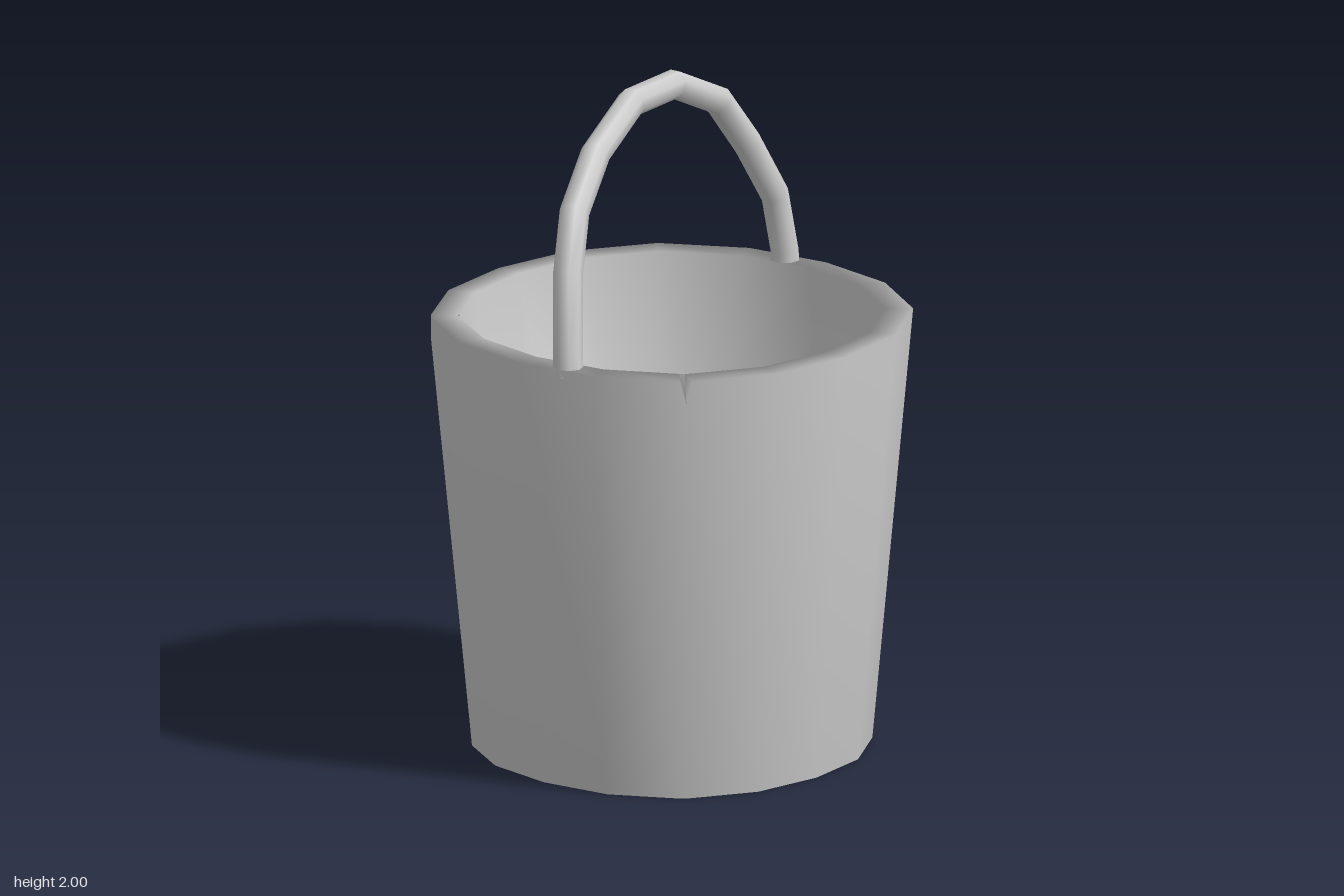
import * as THREE from 'three';

const material = new THREE.MeshStandardMaterial({ color: 0xcccccc });
const RIM = 1.31;

// Tapered thick-walled pail, 16 sides, slightly squared in plan,
// with a small nick at two front corners
function makePail() {
  const profile = [
    [0, 0.03], [0.5, 0.03], [0.515, 0], [0.565, 0],
    [0.68, RIM], [0.6, RIM], [0.51, 0.08], [0, 0.08],
  ].map(([r, y]) => new THREE.Vector2(r, y));

  // Column angles in degrees; the nicked corners get three close columns
  const angles = [];
  for (let i = 0; i <= 16; i++) {
    const a = i * 22.5;
    if (i === 2 || i === 14) angles.push(a - 1.5, a, a + 1.5);
    else angles.push(a);
  }

  const geometry = new THREE.LatheGeometry(profile, angles.length - 1);
  const { position, normal } = geometry.attributes;
  // Radial and upward parts of the smooth normal along the profile
  const profileNormals = profile.map((p, j) => [normal.getZ(j), normal.getY(j)]);

  angles.forEach((deg, i) => {
    const a = THREE.MathUtils.degToRad(deg);
    const sin = Math.sin(a), cos = Math.cos(a);
    const bulge = 1 + 0.02 * (1 - Math.cos(4 * a));
    const nick = deg === 45 || deg === 315;
    profile.forEach((p, j) => {
      const k = i * profile.length + j;
      const r = p.x * bulge;
      const [nr, ny] = profileNormals[j];
      position.setXYZ(k, r * sin, nick && j === 4 ? RIM - 0.07 : p.y, r * cos);
      normal.setXYZ(k, nr * sin, ny, nr * cos);
    });
  });
  const mesh = new THREE.Mesh(geometry, material);
  mesh.name = 'pail';
  return mesh;
}

// Leaning hoop handle whose ends sink into the rim
function makeHandle() {
  const points = [
    [0.143, 1.28, 0.617], [0.135, 1.34, 0.612], [0.085, 1.57, 0.555], [0.035, 1.73, 0.47],
    [-0.025, 1.86, 0.31], [-0.08, 1.957, 0.09], [-0.11, 1.957, -0.13],
    [-0.14, 1.85, -0.36], [-0.14, 1.69, -0.49], [-0.13, 1.51, -0.6],
    [-0.115, 1.34, -0.625], [-0.113, 1.28, -0.627],
  ].map((p) => new THREE.Vector3(...p));
  const path = new THREE.CatmullRomCurve3(points);
  // Place one ring exactly at each point
  path.getPointAt = (u, target) => path.getPoint(u, target);
  path.getTangentAt = (u, target) => path.getTangent(u, target);
  const tube = new THREE.TubeGeometry(path, points.length - 1, 0.044, 8);
  const mesh = new THREE.Mesh(tube, material);
  mesh.name = 'handle';
  return mesh;
}

export function createModel() {
  const group = new THREE.Group();
  group.name = 'bucket';
  group.add(makePail(), makeHandle());
  return group;
}
